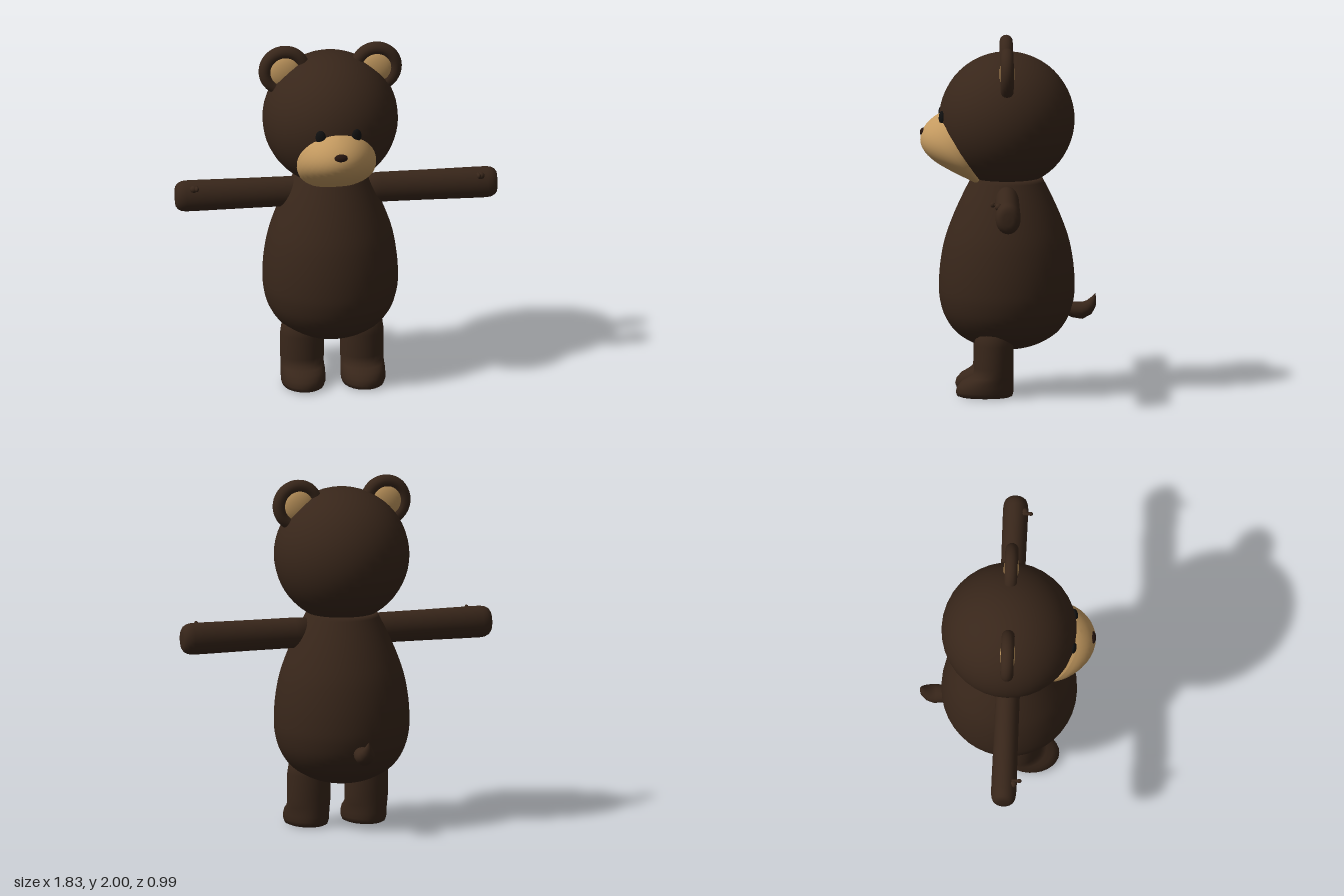
import * as THREE from 'three';

const material = (color) => new THREE.MeshStandardMaterial({ color });
const fur = material(0x38261a);
const tan = material(0xc49a60);
const black = material(0x101010);
const noseBrown = material(0x25150f);
const V = (x, y, z) => new THREE.Vector3(x, y, z);

function add(parent, name, geometry, mat, x = 0, y = 0, z = 0) {
  const mesh = new THREE.Mesh(geometry, mat);
  mesh.name = name;
  mesh.position.set(x, y, z);
  parent.add(mesh);
  return mesh;
}

const ellipsoid = (rx, ry, rz) => new THREE.SphereGeometry(1, 32, 20).scale(rx, ry, rz);

// Smooth skin over elliptical rings [centre, axisU, axisV]; U x V points along the path
function loft(rings, n = 28) {
  const pos = [], index = [];
  rings.forEach(([c, u, v], i) => {
    for (let j = 0; j < n; j++) {
      const a = (j / n) * Math.PI * 2;
      const p = c.clone().addScaledVector(u, Math.cos(a)).addScaledVector(v, Math.sin(a));
      pos.push(p.x, p.y, p.z);
      if (i === 0) continue;
      const k = (j + 1) % n, lo = (i - 1) * n, hi = i * n;
      index.push(lo + j, lo + k, hi + k, lo + j, hi + k, hi + j);
    }
  });
  const g = new THREE.BufferGeometry();
  g.setAttribute('position', new THREE.Float32BufferAttribute(pos, 3));
  g.setIndex(index);
  g.computeVertexNormals();
  return g;
}

// Pear-shaped torso
function torsoGeometry() {
  const profile = [[0.08, 0.26], [0.18, 0.288], [0.28, 0.348], [0.345, 0.435], [0.375, 0.53],
    [0.382, 0.62], [0.375, 0.74], [0.352, 0.87], [0.312, 0.99], [0.26, 1.11], [0.2, 1.23]];
  const curve = new THREE.SplineCurve([[0, 0.255], ...profile].map((p) => new THREE.Vector2(...p)));
  const points = [...curve.getPoints(44), new THREE.Vector2(0, 1.25)];
  points[0].x = 0;
  return new THREE.LatheGeometry(points, 40);
}

// Tilted muzzle, fuller towards its upper end
function muzzleGeometry() {
  const g = new THREE.SphereGeometry(1, 36, 28);
  const p = g.attributes.position;
  for (let i = 0; i < p.count; i++) {
    const t = 0.235 * p.getY(i);
    const n = 0.138 * p.getZ(i) * (1 + 3.3 * t);
    p.setXYZ(i, 0.225 * p.getX(i), 1.385 - 0.546 * n + 0.838 * t, 0.275 + 0.838 * n + 0.546 * t);
  }
  g.computeVertexNormals();
  return g;
}

// Leg and foot in one: [height, half width, back z, front z]
function legGeometry() {
  const rows = [[0.005, 0, 0.1, 0.1], [0.005, 0.1, -0.01, 0.265], [0.012, 0.117, -0.025, 0.286],
    [0.035, 0.125, -0.031, 0.294], [0.065, 0.126, -0.031, 0.286], [0.095, 0.125, -0.031, 0.26],
    [0.115, 0.123, -0.031, 0.222], [0.135, 0.122, -0.031, 0.196], [0.17, 0.124, -0.031, 0.19],
    [0.3, 0.124, -0.031, 0.19], [0.36, 0.115, -0.025, 0.183], [0.4, 0.08, 0.01, 0.15], [0.41, 0, 0.08, 0.08]];
  return loft(rows.map(([y, w, b, f]) => [V(0, y, (b + f) / 2), V(0, 0, (f - b) / 2), V(w, 0, 0)]));
}

// Arm with blunt rounded hand: [x, scale]
function armGeometry() {
  const rows = [[0.15, 0], [0.15, 0.9], [0.25, 0.96], [0.5, 0.97], [0.78, 1], [0.855, 1],
    [0.88, 0.95], [0.9, 0.83], [0.911, 0.65], [0.914, 0.4], [0.915, 0]];
  return loft(rows.map(([x, s]) => [V(x, 1.125, 0.006), V(0, 0.09 * s, 0), V(0, 0, 0.071 * s)]));
}

// Curled tail: [y, z, radius]
function tailGeometry() {
  const rows = [[0.488, -0.31, 0.03], [0.476, -0.37, 0.045], [0.471, -0.415, 0.049],
    [0.485, -0.447, 0.043], [0.51, -0.47, 0.031], [0.54, -0.484, 0.016], [0.57, -0.494, 0]];
  const centres = rows.map(([y, z]) => V(0, y, z));
  return loft(rows.map(([, , r], i) => {
    const dir = centres[Math.min(i + 1, rows.length - 1)].clone()
      .sub(centres[Math.max(i - 1, 0)]).normalize();
    const side = V(1, 0, 0);
    return [centres[i], side.clone().multiplyScalar(r * 1.12), dir.cross(side).multiplyScalar(r)];
  }), 20);
}

export function createModel() {
  const model = new THREE.Group();
  model.name = 'bear';

  // Torso, head and legs share one centre line
  const core = new THREE.Group();
  core.name = 'core';
  core.position.x = -0.033;
  model.add(core);

  add(core, 'torso', torsoGeometry(), fur, 0, 0, 0.005);
  add(core, 'head', new THREE.SphereGeometry(0.382, 36, 28), fur, 0, 1.56, 0.005);
  add(core, 'muzzle', muzzleGeometry(), tan);
  add(core, 'nose', ellipsoid(0.041, 0.025, 0.025), noseBrown, 0, 1.487, 0.47);
  add(core, 'tail', tailGeometry(), fur);

  for (const s of [1, -1]) {
    const side = s > 0 ? 'left' : 'right';
    const eye = add(core, side + 'Eye', ellipsoid(0.029, 0.041, 0.016), black, s * 0.102, 1.58, 0.372);
    eye.rotation.y = s * 0.27;
    add(core, side + 'EarRim', new THREE.TorusGeometry(0.11, 0.037, 16, 40), fur, s * 0.26, 1.853, 0.006);
    add(core, side + 'EarInner', ellipsoid(0.105, 0.105, 0.043), tan, s * 0.26, 1.853, 0.006);
    add(core, side + 'Leg', legGeometry(), fur, s * 0.17);

    // Arm with a tiny forked thumb
    const arm = new THREE.Group();
    arm.name = side + 'Arm';
    arm.scale.x = s;
    model.add(arm);
    add(arm, 'arm', armGeometry(), fur);
    add(arm, 'thumbBase', ellipsoid(0.022, 0.02, 0.02), fur, 0.815, 1.183, 0.06);
    const prong = new THREE.CapsuleGeometry(0.01, 0.04, 6, 12).rotateX(Math.PI / 2);
    add(arm, 'thumb', prong, fur, 0.801, 1.192, 0.075);
    add(arm, 'thumbTip', ellipsoid(0.011, 0.015, 0.014), fur, 0.801, 1.194, 0.092);
  }
  return model;
}
